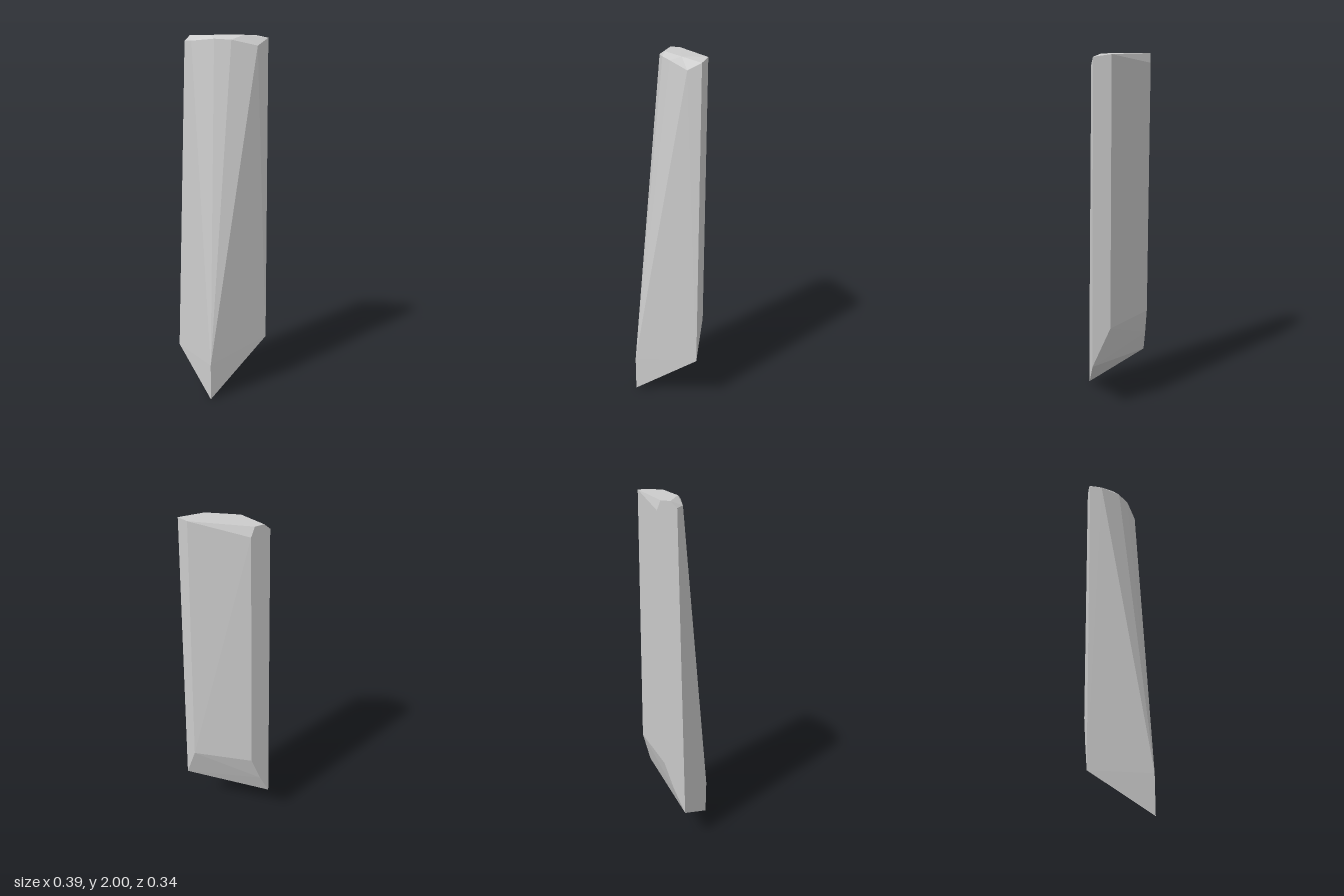
import * as THREE from 'three';
import { ConvexGeometry } from 'three/addons/geometries/ConvexGeometry.js';

// Flat-shaded convex shard, described by its corner rings from bottom to top
export function createModel() {
  const rings = [
    // pointed foot
    [[-0.193, 0, 0.17]],
    // slanted lower corners
    [[-0.193, 0.21, 0.17], [0.193, 0.29, 0.17], [-0.193, 0.21, -0.17], [-0.125, 0.35, -0.17]],
    // start of the diagonal back face
    [[0.193, 0.52, 0.068], [-0.06, 0.52, -0.17]],
    // shoulder below the tip bevels
    [[-0.13, 1.97, -0.17], [-0.13, 1.97, -0.1], [-0.065, 1.98, 0.02], [0, 1.975, 0.085],
      [0.12, 1.945, 0.155], [0.193, 1.985, 0.15], [-0.022, 1.95, -0.17]],
    // small top face
    [[-0.095, 2, -0.17], [-0.065, 2, -0.015], [0.07, 2, 0.1], [0.193, 1.998, 0.056], [-0.042, 2, -0.17]],
  ];
  const corners = rings.flat().map((p) => new THREE.Vector3(...p));
  const shard = new THREE.Mesh(
    new ConvexGeometry(corners),
    new THREE.MeshStandardMaterial({ color: 0xcccccc, flatShading: true }),
  );
  shard.name = 'shard';

  const group = new THREE.Group();
  group.name = 'stoneShard';
  group.add(shard);
  return group;
}
